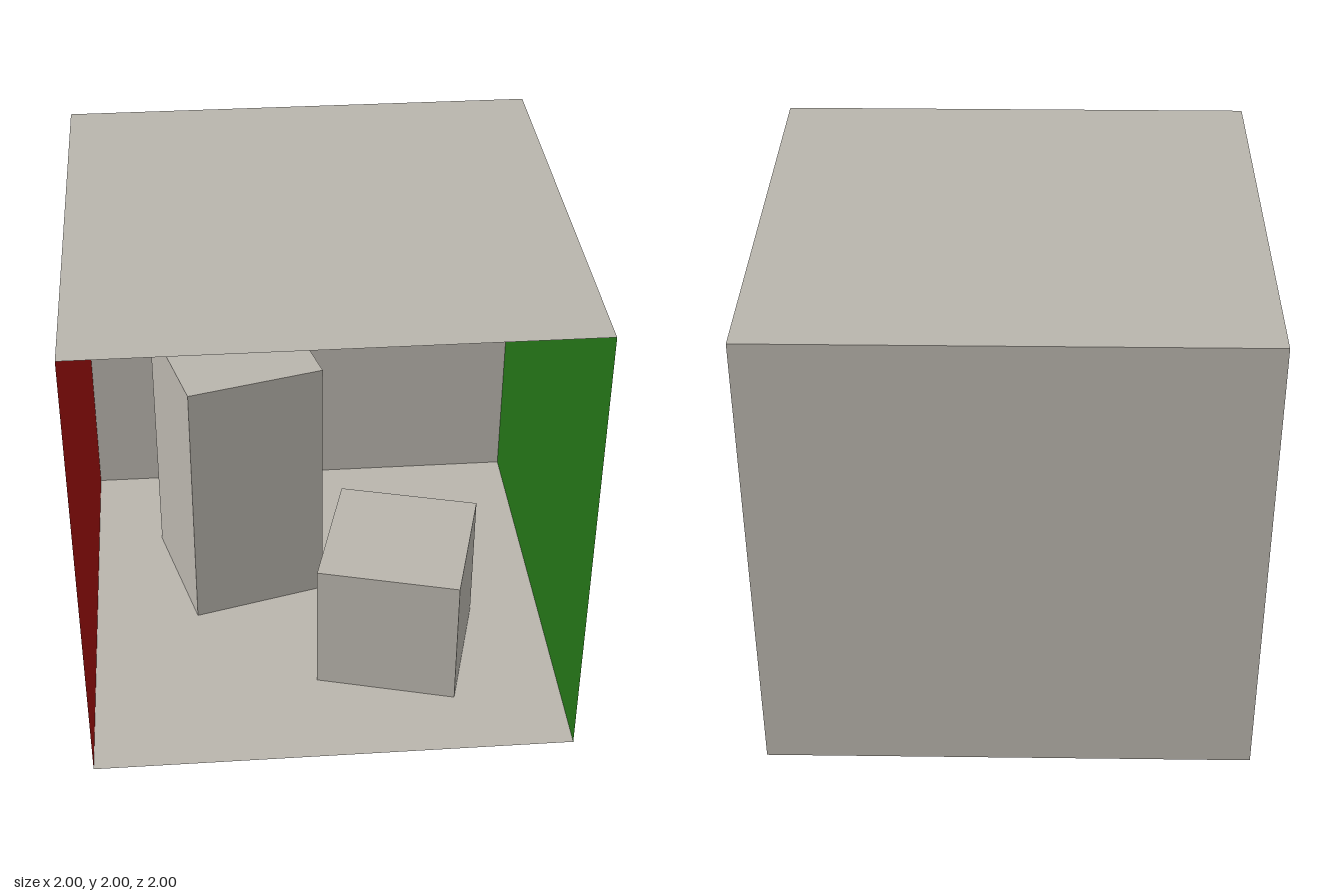
import * as THREE from 'three';

export function createModel() {
  const room = new THREE.Group();
  room.name = 'room';
  const paint = (color) => new THREE.MeshStandardMaterial({ color, side: THREE.DoubleSide });
  const white = paint(0xb9b5ad);
  const red = paint(0xa1110d);
  const green = paint(0x247317);

  // Thin 2 x 2 panels enclosing the room, all facing inward, front left open
  const addPanel = (name, material, position, rotX, rotY) => {
    const panel = new THREE.Mesh(new THREE.PlaneGeometry(2, 2), material);
    panel.name = name;
    panel.position.set(...position);
    panel.rotation.set(rotX, rotY, 0);
    room.add(panel);
  };
  const quarter = Math.PI / 2;
  addPanel('floor', white, [0, 0, 0], -quarter, 0);
  addPanel('ceiling', white, [0, 2, 0], quarter, 0);
  addPanel('backWall', white, [0, 1, -1], 0, 0);
  addPanel('redWall', red, [-1, 1, 0], 0, quarter);
  addPanel('greenWall', green, [1, 1, 0], 0, -quarter);

  // Two square blocks standing on the floor, turned 15 degrees opposite ways
  const addBlock = (name, height, x, z, degrees) => {
    const block = new THREE.Mesh(new THREE.BoxGeometry(0.6, height, 0.6), white);
    block.name = name;
    block.position.set(x, height / 2, z);
    block.rotation.y = THREE.MathUtils.degToRad(degrees);
    room.add(block);
  };
  addBlock('tallBlock', 1.2, -0.333, -0.3, 15);
  addBlock('shortBlock', 0.6, 0.328, 0.325, -15);

  return room;
}
